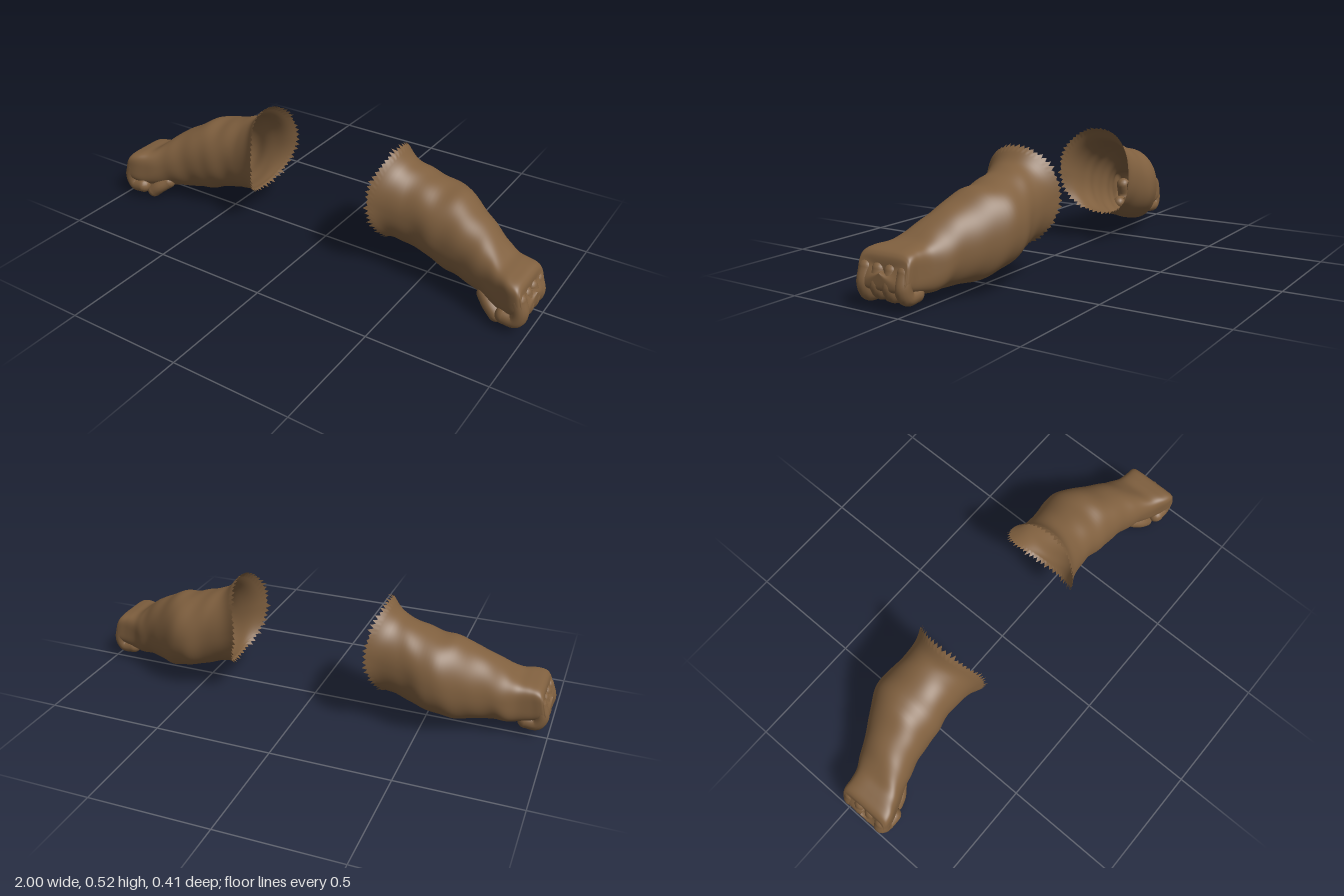
import * as THREE from 'three';

const SEG = 112, RINGS = 72;

// Arm stations from the torn edge to the fist: x, top y, bottom y, back z, front z
const STATIONS = [
  [0.335, 0.515, 0.135, -0.2, 0.145],
  [0.38, 0.465, 0.125, -0.182, 0.113],
  [0.45, 0.435, 0.11, -0.19, 0.105],
  [0.53, 0.413, 0.085, -0.202, 0.112],
  [0.61, 0.395, 0.062, -0.185, 0.12],
  [0.69, 0.355, 0.052, -0.137, 0.125],
  [0.76, 0.315, 0.052, -0.1, 0.145],
  [0.82, 0.27, 0.05, -0.075, 0.162],
  [0.87, 0.24, 0.055, -0.045, 0.18],
  [0.92, 0.23, 0.07, -0.033, 0.2],
  [0.955, 0.222, 0.08, -0.03, 0.205],
  [0.972, 0.21, 0.085, -0.026, 0.2],
  [0.98, 0.19, 0.1, -0.012, 0.185],
  [0.981, 0.15, 0.149, 0.084, 0.086],
];

function seeded(seed) {
  return () => (seed = (seed * 16807) % 2147483647) / 2147483647;
}

// Limb: superellipse rings, boxier towards the fist, with a ragged flared opening
function limbGeometry() {
  const rand = seeded(71);
  const heights = new THREE.CatmullRomCurve3(
    STATIONS.map(s => new THREE.Vector3(s[0], s[1], s[2])), false, 'catmullrom', 0.5);
  const depths = new THREE.CatmullRomCurve3(
    STATIONS.map(s => new THREE.Vector3(s[0], s[3], s[4])), false, 'catmullrom', 0.5);
  const pos = [], index = [];
  for (let i = 0; i <= RINGS; i++) {
    const t = i / RINGS;
    const { x, y: top, z: bottom } = heights.getPoint(t);
    const { y: back, z: front } = depths.getPoint(t);
    const fist = THREE.MathUtils.smoothstep(x, 0.78, 0.95);
    const power = 2 / (2.15 + 2.6 * fist);
    const opening = 1 - THREE.MathUtils.smoothstep(x, 0.335, 0.41);
    for (let j = 0; j < SEG; j++) {
      const a = j / SEG * Math.PI * 2, c = Math.cos(a), s = Math.sin(a);
      const tooth = i === 0 && j % 2 ? 0.3 + rand() * 0.7 : 0;
      // Gentle muscle and fold relief
      const relief = 1 + (1 - fist) * (1 - opening) *
        (0.012 * Math.sin(x * 38 + a * 2) + 0.008 * Math.sin(x * 61 - a * 3));
      const r = relief + 0.06 * tooth;
      const cy = Math.sign(s) * Math.abs(s) ** power;
      const cz = Math.sign(c) * Math.abs(c) ** power;
      pos.push(
        x + opening * (-0.045 * c * c + 0.02 * Math.max(0, -s)) - 0.022 * tooth - 0.014 * fist * cy,
        (top + bottom) / 2 + (top - bottom) / 2 * cy * r,
        (front + back) / 2 + (front - back) / 2 * cz * r);
      if (i < RINGS) {
        const k = (j + 1) % SEG, p = i * SEG, q = p + SEG;
        index.push(p + j, q + j, p + k, p + k, q + j, q + k);
      }
    }
  }
  const g = new THREE.BufferGeometry();
  g.setAttribute('position', new THREE.Float32BufferAttribute(pos, 3));
  g.setIndex(index);
  g.computeVertexNormals();
  return g;
}

// Rounded digit following a path
function digit(points, radius) {
  const curve = new THREE.CatmullRomCurve3(points.map(p => new THREE.Vector3(...p)));
  const ball = p => new THREE.SphereGeometry(radius, 16, 12).translate(...p);
  return [new THREE.TubeGeometry(curve, 24, radius, 16), ball(points[0]), ball(points.at(-1))];
}

// Mirror a geometry across x and keep its faces outward
function mirror(geometry) {
  const g = geometry.clone().scale(-1, 1, 1);
  const ix = g.index;
  for (let i = 0; i < ix.count; i += 3) {
    const b = ix.getX(i + 1);
    ix.setX(i + 1, ix.getX(i + 2));
    ix.setX(i + 2, b);
  }
  return g;
}

export function createModel() {
  const skin = new THREE.MeshStandardMaterial({ color: 0x80603f, side: THREE.DoubleSide });
  skin.name = 'brown skin';

  const parts = [['forearm', limbGeometry()]];

  // Four fingers curled under the fist
  for (let f = 0; f < 4; f++) {
    const z = 0.172 - f * 0.057;
    const low = [0.052, 0.062, 0.058, 0.056][f];
    const path = [[0.952, 0.15, z], [0.966, 0.098, z], [0.95, low + 0.01, z], [0.905, low + 0.01, z]];
    digit(path, f === 0 ? 0.034 : 0.031).forEach(g => parts.push(['finger', g]));
  }

  // Thumb tucked below the index finger
  digit([[0.8, 0.085, 0.115], [0.835, 0.06, 0.138], [0.866, 0.034, 0.146]], 0.031)
    .forEach(g => parts.push(['thumb', g]));

  const model = new THREE.Group();
  model.name = 'pairOfArms';
  for (const side of ['left', 'right']) {
    const arm = new THREE.Group();
    arm.name = side + 'Arm';
    for (const [name, geometry] of parts) {
      const mesh = new THREE.Mesh(side === 'left' ? geometry : mirror(geometry), skin);
      mesh.name = name;
      arm.add(mesh);
    }
    model.add(arm);
  }
  return model;
}
